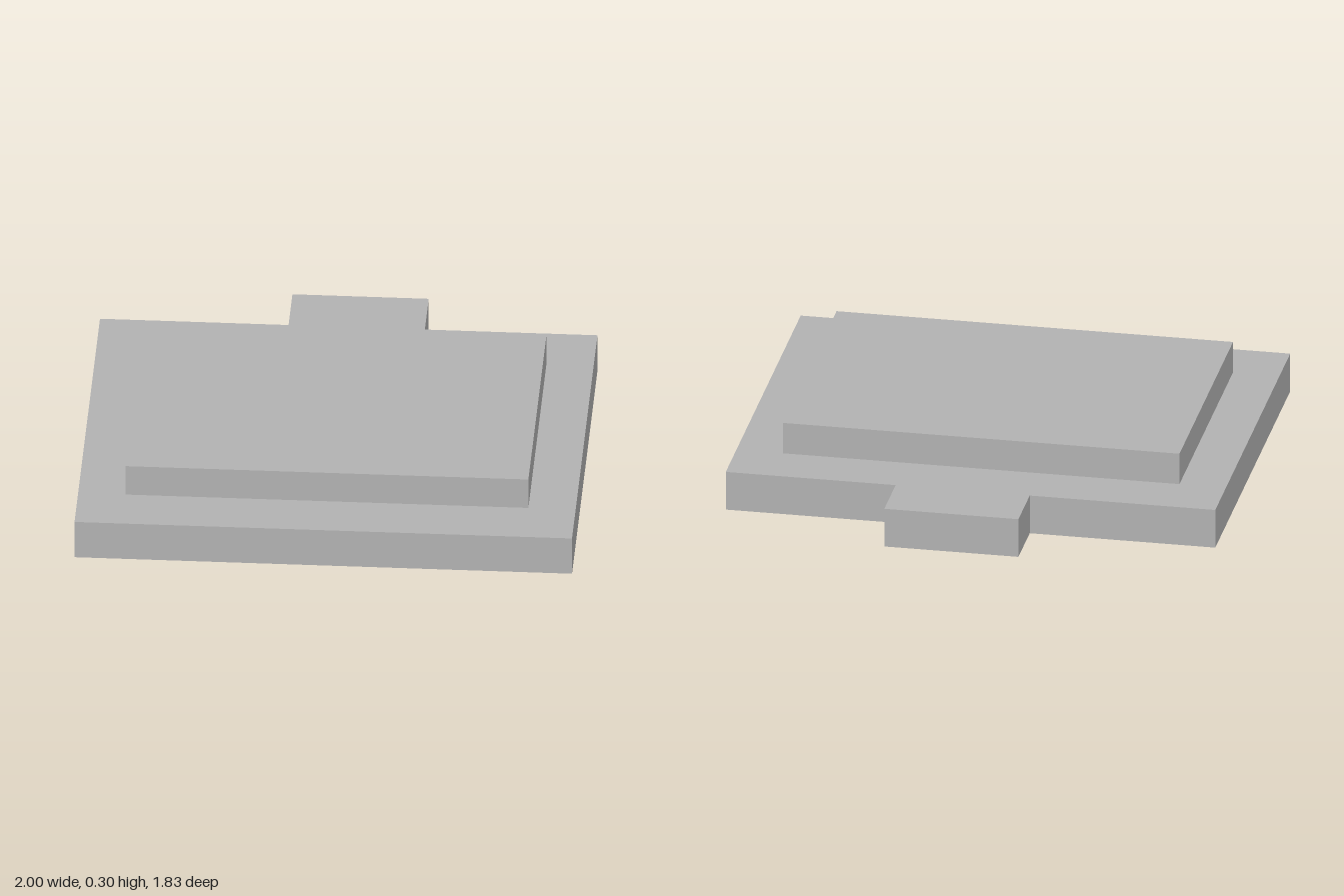
import * as THREE from 'three';

// Horizontal slab from an outline of [x, z] points, between heights y0 and y1
function slab(name, outline, y0, y1, material) {
  const shape = new THREE.Shape(outline.map(([x, z]) => new THREE.Vector2(x, -z)));
  const geometry = new THREE.ExtrudeGeometry(shape, { depth: y1 - y0, bevelEnabled: false });
  geometry.rotateX(-Math.PI / 2);
  geometry.translate(0, y0, 0);
  const mesh = new THREE.Mesh(geometry, material);
  mesh.name = name;
  return mesh;
}

export function createModel() {
  const group = new THREE.Group();
  group.name = 'steppedBlock';
  const grey = new THREE.MeshStandardMaterial({ color: 0xb2b2b2 });
  grey.name = 'grey';

  // Wide lower slab with a tab at the back
  const base = [
    [-1, 0.913], [1, 0.913], [1, -0.673], [0.306, -0.673],
    [0.306, -0.913], [-0.242, -0.913], [-0.242, -0.673], [-1, -0.673],
  ];
  group.add(slab('baseWithTab', base, 0, 0.165, grey));

  // Smaller raised slab
  const top = [[-0.81, 0.687], [0.81, 0.687], [0.81, -0.447], [-0.81, -0.447]];
  group.add(slab('raisedTop', top, 0.165, 0.298, grey));

  return group;
}
